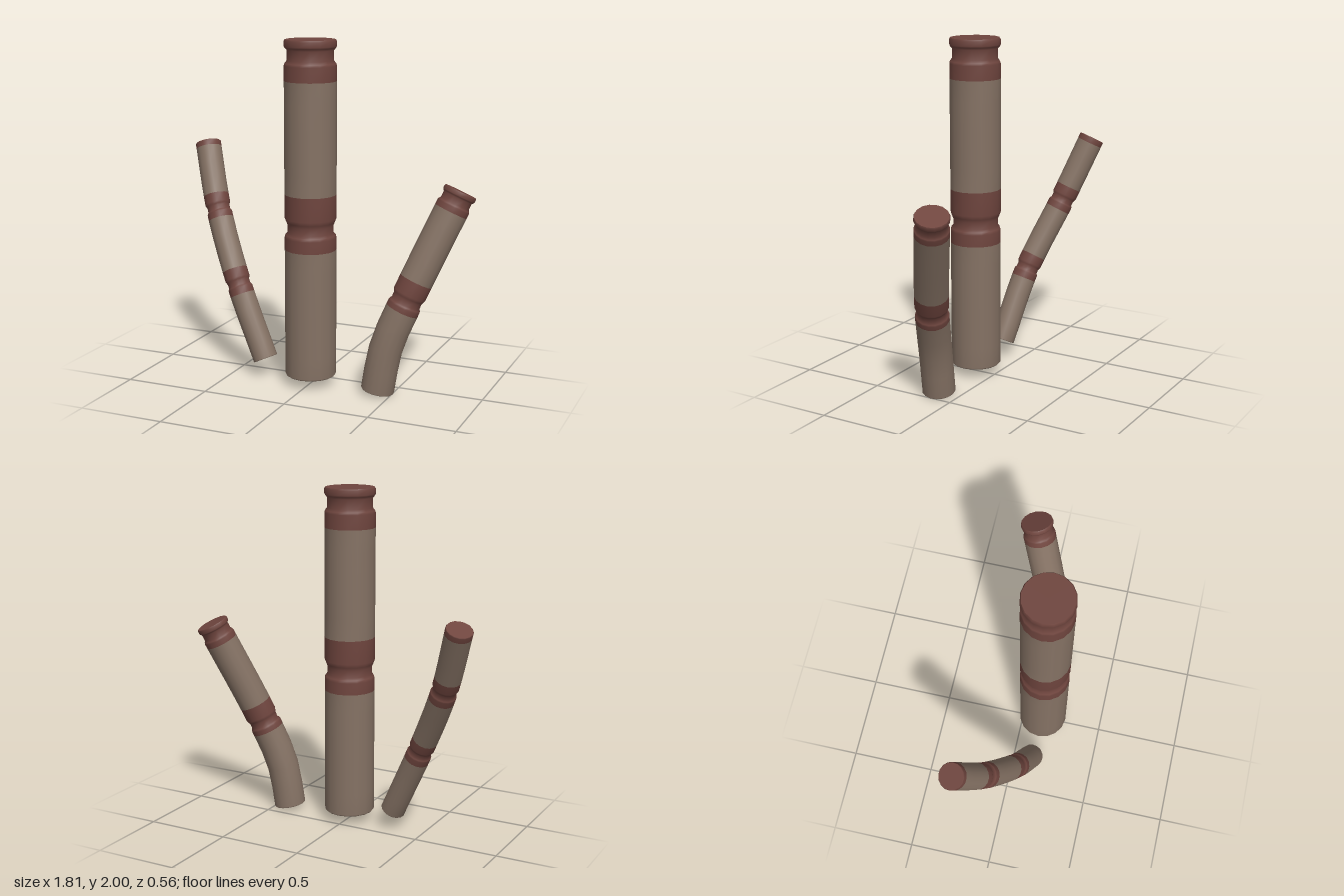
import * as THREE from 'three';

const bark = new THREE.MeshStandardMaterial({ color: 0x857264 });
bark.name = 'brownStalk';
const joint = new THREE.MeshStandardMaterial({ color: 0x6f453e });
joint.name = 'redJoint';

const SIDES = 16;

// Smooth tube through rings of [distance along the spine, radius]
function sleeve(name, spine, rings, material) {
  const pos = [], index = [], length = spine.getLength();
  for (const [d, r] of rings) pos.push(...ringPoints(spine, d / length, r));
  for (let i = 0; i < rings.length - 1; i++) {
    for (let j = 0; j < SIDES; j++) {
      const k = (j + 1) % SIDES, a = i * SIDES, c = a + SIDES;
      index.push(a + j, c + j, a + k, a + k, c + j, c + k);
    }
  }
  return finish(name, pos, index, material);
}

// Flat disc closing one end of a stalk
function endCap(name, spine, t, r, top, material) {
  const pos = [...ringPoints(spine, t, r), ...spine.getPointAt(t).toArray()];
  const index = [];
  for (let j = 0; j < SIDES; j++) {
    const k = (j + 1) % SIDES;
    index.push(SIDES, ...(top ? [k, j] : [j, k]));
  }
  return finish(name, pos, index, material);
}

function ringPoints(spine, t, r) {
  t = Math.min(1, Math.max(0, t));
  const p = spine.getPointAt(t), tan = spine.getTangentAt(t);
  const u = new THREE.Vector3(1, 0, 0).addScaledVector(tan, -tan.x).normalize();
  const v = u.clone().cross(tan);
  const out = [];
  for (let j = 0; j < SIDES; j++) {
    const a = (j / SIDES) * Math.PI * 2;
    const q = p.clone().addScaledVector(u, r * Math.cos(a)).addScaledVector(v, r * Math.sin(a));
    out.push(q.x, q.y, q.z);
  }
  return out;
}

function finish(name, pos, index, material) {
  const g = new THREE.BufferGeometry();
  g.setAttribute('position', new THREE.Float32BufferAttribute(pos, 3));
  g.setIndex(index);
  g.computeVertexNormals();
  const mesh = new THREE.Mesh(g, material);
  mesh.name = name;
  return mesh;
}

// One stalk: brown lengths alternating with pinched red joints and a red tip
function stalk({ name, points, r0, r1, nodes, below, above, pinch, tip, collar }) {
  const group = new THREE.Group();
  group.name = name;
  const spine = new THREE.CatmullRomCurve3(points.map((p) => new THREE.Vector3(...p)));
  const L = spine.getLength();
  const rad = (d) => r0 + (r1 - r0) * d / L;
  const full = (d, s = 1) => [d, rad(d) * s];
  const bev = r0 * 0.06;

  const addLength = (from, to, first) => {
    const steps = Math.max(1, Math.ceil((to - from) / 0.13));
    const rings = first ? [full(0, 0.95), full(bev)] : [full(from)];
    for (let i = 1; i <= steps; i++) rings.push(full(from + (to - from) * i / steps));
    group.add(sleeve('stalkLength', spine, rings, bark));
  };

  let start = bev;
  nodes.forEach((n, i) => {
    addLength(start, n - below, i === 0);
    group.add(sleeve('joint', spine, [
      full(n - below), full(n - pinch * 1.1), full(n - pinch * 0.75, 0.97), full(n - pinch * 0.45, 0.89),
      full(n + pinch * 0.5, 0.89), full(n + pinch * 0.9, 0.94), full(n + pinch * 1.4), full(n + above),
    ], joint));
    start = n + above;
  });
  addLength(start, L - tip, false);

  // Red tip, with a narrow neck and rim where the stalk has a collar
  const rings = [full(L - tip)];
  if (collar) {
    rings.push(
      full(L - collar * 1.1), full(L - collar, 0.97), full(L - collar * 0.88, 0.89),
      full(L - collar * 0.45, 0.89), full(L - collar * 0.35, 0.97), full(L - collar * 0.28),
      full(L - collar * 0.08));
  } else {
    rings.push(full(L - bev));
  }
  rings.push(full(L, 0.96));
  group.add(sleeve('tip', spine, rings, joint));
  group.add(endCap('tipTop', spine, 1, r1 * 0.96, true, joint));
  group.add(endCap('baseEnd', spine, 0, r0 * 0.95, false, bark));
  return group;
}

export function createModel() {
  const model = new THREE.Group();
  model.name = 'threeStalks';
  model.add(
    stalk({
      name: 'tallStalk', points: [[0, 0.06, 0.128], [0, 2, 0.128]], r0: 0.148, r1: 0.148,
      nodes: [0.87], below: 0.12, above: 0.2, pinch: 0.045, tip: 0.23, collar: 0.132,
    }),
    stalk({
      name: 'thinRightStalk',
      points: [[-0.297, 0.108, 0.118], [-0.5, 0.53, 0.055], [-0.7, 0.945, -0.08], [-0.835, 1.325, -0.21]],
      r0: 0.073, r1: 0.077,
      nodes: [0.47, 0.95], below: 0.065, above: 0.09, pinch: 0.025, tip: 0.035, collar: 0,
    }),
    stalk({
      name: 'leaningLeftStalk',
      points: [[0.415, 0.018, 0.125], [0.462, 0.28, 0.115], [0.567, 0.56, 0.067], [0.813, 1.167, -0.103]],
      r0: 0.096, r1: 0.097,
      nodes: [0.56], below: 0.06, above: 0.125, pinch: 0.03, tip: 0.125, collar: 0.085,
    }),
  );
  return model;
}
